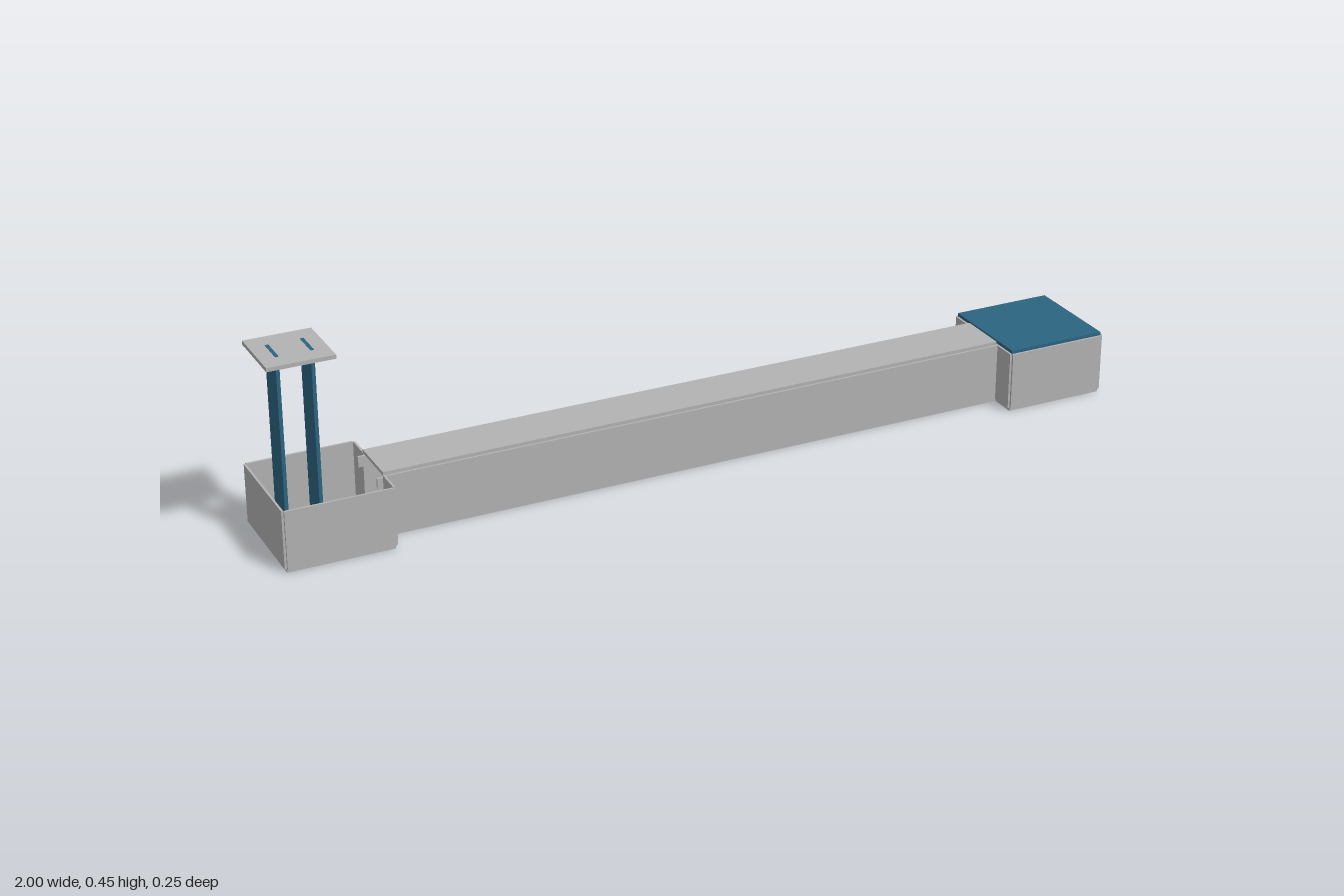
import * as THREE from 'three';

export function createModel() {
  const model = new THREE.Group();
  model.name = 'channelWithEndBoxes';
  const grey = new THREE.MeshStandardMaterial({ color: 0xb2b2b2 });
  grey.name = 'grey sheet';
  const blue = new THREE.MeshStandardMaterial({ color: 0x2b6480 });
  blue.name = 'blue sheet';

  // box given by its minimum and maximum along each axis
  function panel(parent, name, material, [x0, x1], [y0, y1], [z0, z1]) {
    const mesh = new THREE.Mesh(new THREE.BoxGeometry(x1 - x0, y1 - y0, z1 - z0), material);
    mesh.position.set((x0 + x1) / 2, (y0 + y1) / 2, (z0 + z1) / 2);
    mesh.name = name;
    parent.add(mesh);
    return mesh;
  }
  const span = (a, b) => [Math.min(a, b), Math.max(a, b)];
  const wallY = [0.009, 0.145];

  // end boxes: floor, outer wall, side walls and the two short walls beside the channel
  for (const s of [-1, 1]) {
    const box = new THREE.Group();
    box.name = s < 0 ? 'openEndBox' : 'coveredEndBox';
    model.add(box);
    const inner = span(s * 0.755, s * 0.995);
    panel(box, 'floor', grey, inner, [0.001, 0.009], [-0.12, 0.12]);
    panel(box, 'outerWall', grey, span(s * 0.995, s), wallY, [-0.12, 0.12]);
    for (const t of [-1, 1]) {
      panel(box, 'sideWall', grey, inner, wallY, span(t * 0.12, t * 0.125));
      panel(box, 'shortWall', grey, span(s * 0.75, s * 0.755), wallY, span(t * 0.06, t * 0.12));
    }
    if (s > 0) panel(box, 'lid', blue, inner, [0.145, 0.153], [-0.12, 0.12]);
    else {
      // small pads at the rear corners of the floor
      for (const x of [-0.98, -0.775])
        panel(box, 'cornerPad', grey, [x - 0.013, x + 0.013], [0.009, 0.013], [-0.108, -0.082]);
    }
  }

  // long hollow channel, open towards both boxes
  const channel = new THREE.Group();
  channel.name = 'channel';
  model.add(channel);
  const length = [-0.755, 0.755];
  panel(channel, 'channelFloor', grey, length, [0.001, 0.009], [-0.06, 0.06]);
  panel(channel, 'channelCover', grey, [-0.755, 0.75], [0.145, 0.153], [-0.06, 0.06]);
  for (const t of [-1, 1]) {
    panel(channel, 'channelWall', grey, [-0.75, 0.75], wallY, span(t * 0.06, t * 0.065));
    panel(channel, 'endTab', grey, [-0.768, -0.75], [0.115, 0.14], span(t * 0.055, t * 0.06));
  }

  // raised platform on two upright strips that pass through it
  const stand = new THREE.Group();
  stand.name = 'stand';
  model.add(stand);
  for (const x of [-0.96, -0.884])
    panel(stand, 'uprightStrip', blue, [x - 0.004, x + 0.004], [0.009, 0.4495], [-0.033, 0.033]);
  panel(stand, 'platform', grey, [-0.998, -0.848], [0.44, 0.449], [-0.076, 0.076]);

  return model;
}
